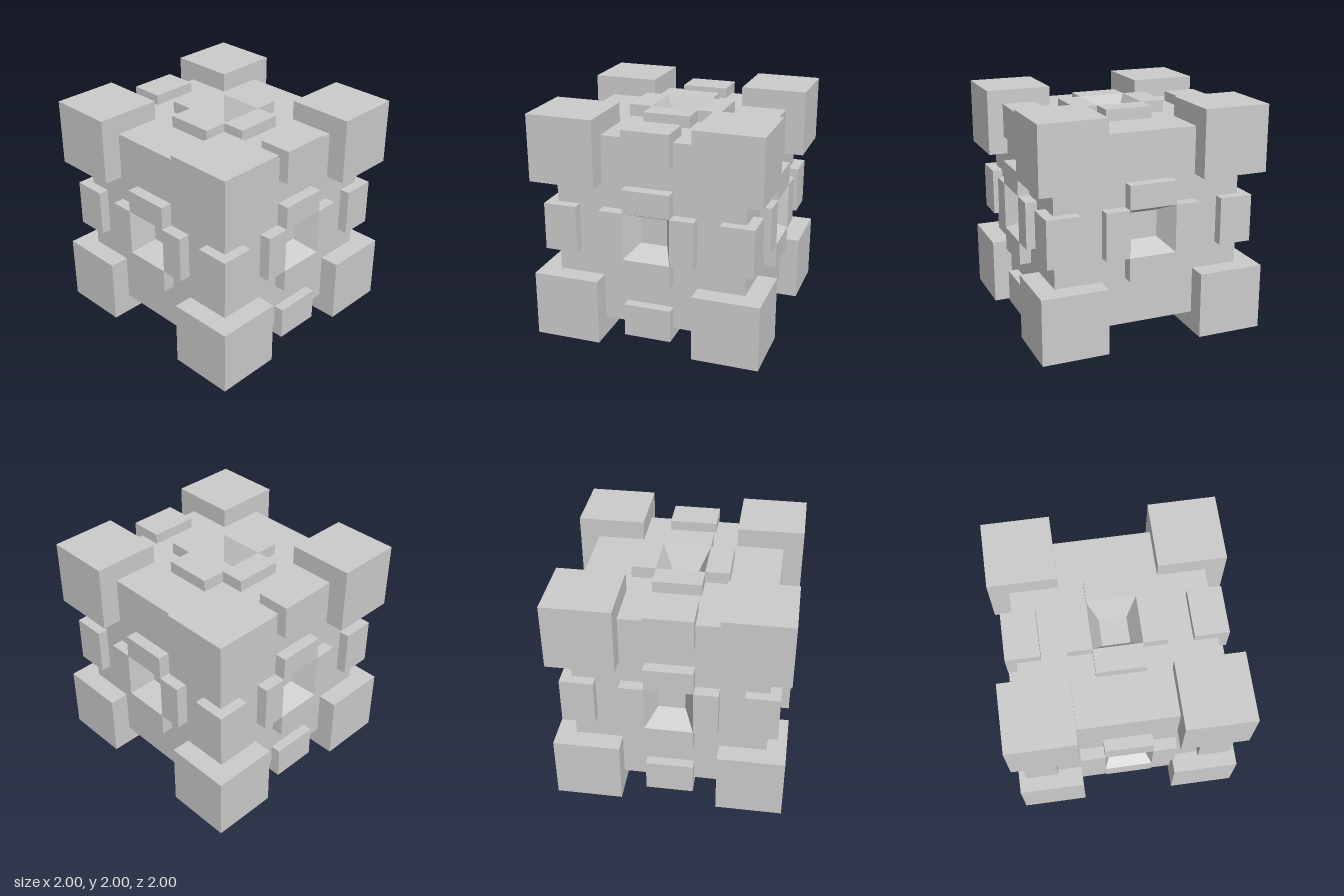
import * as THREE from 'three';

const grey = new THREE.MeshStandardMaterial({ color: 0xcccccc, flatShading: true });
const greyDouble = new THREE.MeshStandardMaterial({ color: 0xcccccc, flatShading: true, side: THREE.DoubleSide });

const CELL = 0.2075;        // grid step of the body
const BODY = CELL * 4;      // half size of the body
const RIM = 0.932;          // height of the raised plates
const FLOOR = 0.735;        // depth of the recess floor
const FLOOR_HALF = 0.118;   // half width of the recess floor

function addMesh(parent, name, geometry, x = 0, y = 0, z = 0, material = grey) {
  const mesh = new THREE.Mesh(geometry, material);
  mesh.name = name;
  mesh.position.set(x, y, z);
  parent.add(mesh);
  return mesh;
}

function square(path, h) {
  path.moveTo(-h, -h);
  path.lineTo(h, -h);
  path.lineTo(h, h);
  path.lineTo(-h, h);
  path.closePath();
  return path;
}

// One side of the body, facing +z: pierced wall, tapered recess and four raised plates
function createSide() {
  const side = new THREE.Group();
  side.name = 'side';

  const t = (BODY - FLOOR) / (RIM - FLOOR);
  const holeHalf = FLOOR_HALF + (CELL - FLOOR_HALF) * t;
  const wall = square(new THREE.Shape(), BODY);
  wall.holes.push(square(new THREE.Path(), holeHalf));
  addMesh(side, 'bodyWall', new THREE.ShapeGeometry(wall), 0, 0, BODY);

  // Square funnel, wide at the rim and narrow at the floor
  const depth = RIM - FLOOR;
  const funnel = new THREE.CylinderGeometry(CELL * Math.SQRT2, FLOOR_HALF * Math.SQRT2, depth, 4, 1, true);
  funnel.rotateY(Math.PI / 4).rotateX(Math.PI / 2);
  addMesh(side, 'recessWalls', funnel, 0, 0, (RIM + FLOOR) / 2, greyDouble);
  addMesh(side, 'recessFloor', new THREE.PlaneGeometry(FLOOR_HALF * 2, FLOOR_HALF * 2), 0, 0, FLOOR);

  // Plates in a cross around the recess
  const thick = RIM - BODY;
  for (const [dx, dy] of [[1, 0], [-1, 0], [0, 1], [0, -1]]) {
    const plate = new THREE.BoxGeometry(dx ? CELL : CELL * 2, dy ? CELL : CELL * 2, thick);
    addMesh(side, 'raisedPlate', plate, dx * CELL * 1.5, dy * CELL * 1.5, BODY + thick / 2);
  }
  return side;
}

export function createModel() {
  const model = new THREE.Group();
  model.name = 'blockCube';
  const cube = new THREE.Group();
  cube.name = 'cube';
  cube.position.y = 1;
  model.add(cube);

  // Six equal sides
  const q = Math.PI / 2;
  for (const [rx, ry] of [[0, 0], [0, q], [0, 2 * q], [0, -q], [q, 0], [-q, 0]]) {
    const side = createSide();
    side.rotation.set(rx, ry, 0);
    cube.add(side);
  }

  // Eight corner blocks
  const inner = 0.42, size = 1 - inner, mid = (1 + inner) / 2;
  const cornerGeometry = new THREE.BoxGeometry(size, size, size);
  // Edge blocks: four on the upright edges, four on the edges running front to back
  const edgeIn = 0.63, edgeOut = 0.92;
  const e = edgeOut - edgeIn, c = (edgeIn + edgeOut) / 2;
  const uprightGeometry = new THREE.BoxGeometry(e, CELL * 2, e);
  const lengthwiseGeometry = new THREE.BoxGeometry(e, e, CELL * 2);

  for (const sx of [-1, 1]) {
    for (const s of [-1, 1]) {
      for (const sz of [-1, 1]) addMesh(cube, 'cornerBlock', cornerGeometry, sx * mid, s * mid, sz * mid);
      addMesh(cube, 'uprightEdgeBlock', uprightGeometry, sx * c, 0, s * c);
      addMesh(cube, 'lengthwiseEdgeBlock', lengthwiseGeometry, sx * c, s * c, 0);
    }
  }
  return model;
}
